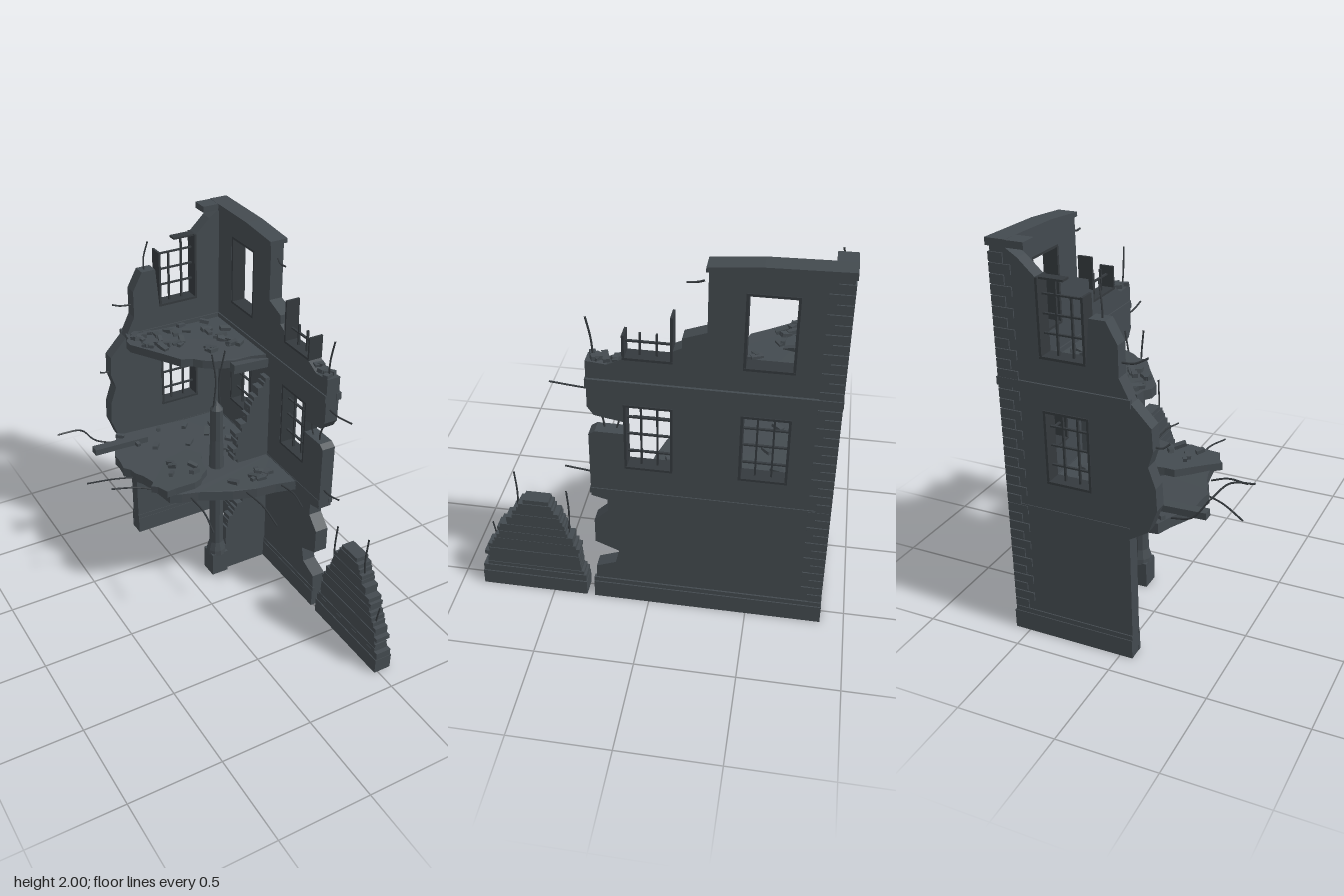
import * as THREE from 'three';

const concrete = new THREE.MeshStandardMaterial({ color: 0x434a4f, flatShading: true });
concrete.name = 'dark concrete';
const steel = new THREE.MeshStandardMaterial({ color: 0x34393d });
steel.name = 'dark steel';

let seed = 7;
const rnd = () => (seed = (seed * 16807) % 2147483647) / 2147483647;
const rr = (a, b) => a + (b - a) * rnd();

export function createModel() {
  const model = new THREE.Group();
  const add = (name, geo, mat = concrete) => {
    const m = new THREE.Mesh(geo, mat);
    m.name = name;
    model.add(m);
    return m;
  };
  // box given by its min and max on each axis
  const span = (name, x0, x1, y0, y1, z0, z1, mat) => {
    const m = add(name, new THREE.BoxGeometry(x1 - x0, y1 - y0, z1 - z0), mat);
    m.position.set((x0 + x1) / 2, (y0 + y1) / 2, (z0 + z1) / 2);
    return m;
  };
  const toPoints = (pts) => pts.map((p) => new THREE.Vector2(...p));
  const extrude = (pts, depth, holes = []) => {
    const s = new THREE.Shape(toPoints(pts));
    for (const [a, b, c, d] of holes) s.holes.push(new THREE.Path(toPoints([[a, c], [a, d], [b, d], [b, c]])));
    return new THREE.ExtrudeGeometry(s, { depth, bevelEnabled: false });
  };
  // outline in (z, y), outer face at x1
  const sideWall = (name, pts, x0, x1, holes) =>
    add(name, extrude(pts, x1 - x0, holes).rotateY(-Math.PI / 2).translate(x1, 0, 0));
  // break up an outline with small nicks
  const jag = (pts, amt, n = 3) => pts.flatMap((p, i) => {
    const q = pts[(i + 1) % pts.length];
    return Array.from({ length: n }, (_, k) => [
      p[0] + (q[0] - p[0]) * k / n + (k ? rr(-amt, amt) : 0),
      p[1] + (q[1] - p[1]) * k / n + (k ? rr(-amt, amt) : 0)]);
  });

  // Side wall in two storeys-high parts that meet at mid height, with a broken front edge
  const level = 1.1;
  sideWall('lowerSideWall', [
    [-0.87, 0], [0.28, 0], [0.27, 0.2], [0.17, 0.24], [0.15, 0.32], [0.27, 0.37], [0.27, 0.51], [0.2, 0.58],
    [0.2, 0.65], [0.28, 0.67], [0.28, 1.04], [0.25, 1.06], [0.11, 1.06], [0.11, 0.86], [-0.12, 0.86], [-0.12, level],
    [-0.43, level], [-0.43, 0.86], [-0.66, 0.86], [-0.66, level], [-0.87, level]], 0.49, 0.565);
  sideWall('upperSideWall', [
    [-0.87, level], [-0.66, level], [-0.66, 1.23], [-0.43, 1.23], [-0.43, level], [-0.12, level], [-0.12, 1.23],
    [0.11, 1.23], [0.11, 1.13], [0.25, 1.155], [0.28, 1.2], [0.28, 1.45], [0.18, 1.44], [0.11, 1.475],
    [-0.12, 1.475], [-0.12, 1.54], [-0.16, 1.56], [-0.16, 1.61], [-0.27, 1.65], [-0.27, 1.96], [-0.87, 1.985]],
  0.49, 0.565, [[-0.66, -0.43, 1.475, 1.86]]);

  // Back wall with its broken left edge
  add('backWall', extrude([
    [0.5, 0], [-0.065, 0], [-0.065, 0.66], [-0.16, 0.72], [-0.205, 0.84], [-0.2, 0.95], [-0.165, 1.05],
    [-0.19, 1.13], [-0.185, 1.24], [-0.09, 1.34], [-0.035, 1.45], [-0.035, 1.6], [0.02, 1.7], [0.1, 1.7],
    [0.12, 1.48], [0.35, 1.48], [0.35, 1.85], [0.43, 1.925], [0.5, 1.97]],
  0.07, [[0.12, 0.35, 0.86, 1.23]]).translate(0, 0, -0.87));

  // Plinth, string courses and cornice
  for (const [y, h, o] of [[0, 0.1, 0.014], [0.1, 0.025, 0.008], [0.69, 0.03, 0.005], [1.32, 0.04, 0.013]]) {
    const left = y > 1 ? -0.09 : -0.066;
    span('sideCourse', 0.55, 0.565 + o, y, y + h, -0.87 - o / 1.4, 0.284);
    span('backCourse', left, 0.565, y, y + h, -0.87 - o / 1.4, -0.86);
    span('innerSideCourse', 0.49 - o / 2, 0.5, y, y + h, -0.81, 0.28);
    span('innerBackCourse', left, 0.49, y, y + h, -0.81, -0.8 + o / 2);
  }
  sideWall('sideCornice', [[-0.88, 1.965], [-0.26, 1.95], [-0.26, 1.972], [-0.5, 1.993], [-0.88, 2]], 0.48, 0.58);
  span('backCornice', 0.39, 0.48, 1.965, 1.998, -0.88, -0.79);

  // Corner quoins, alternately long and short
  for (let i = 0, y = 0.13; y < 1.93; i++, y += 0.049) {
    const l = i % 2 ? 0.1 : 0.065;
    span('sideQuoin', 0.56, 0.572, y, y + 0.044, -0.877, -0.87 + l);
    span('backQuoin', 0.565 - l, 0.572, y, y + 0.044, -0.877, -0.865);
  }

  // Windows: casing posts and glazing bars; tops lists the height of each upright
  const addWindow = (side, a, y0, tops, rows, head = true) => {
    const b = a + 0.23, y1 = Math.max(...tops);
    const bar = (name, u0, u1, v0, v1, t) => side
      ? span(name, 0.53 - t, 0.53 + t, v0, v1, u0, u1, steel)
      : span(name, u0, u1, v0, v1, -0.835 - t, -0.835 + t, steel);
    bar('windowSill', a, b, y0, y0 + 0.012, 0.04);
    if (head) bar('windowHead', a, b, y1 - 0.012, y1, 0.04);
    tops.forEach((t, i) => {
      const outer = i === 0 || i === tops.length - 1, e = outer ? 0.006 : 0.0045;
      const c = THREE.MathUtils.clamp(a + 0.23 * i / (tops.length - 1), a + e, b - e);
      bar('glazingPost', c - e, c + e, y0, t, outer ? 0.039 : 0.006);
    });
    for (const y of rows) bar('glazingBar', a, b, y - 0.004, y + 0.004, 0.006);
  };
  for (const [side, a] of [[true, -0.12], [true, -0.66], [false, 0.12]])
    addWindow(side, a, 0.86, Array(4).fill(1.23), [0.945, 1.045, 1.14]);
  addWindow(true, -0.66, 1.475, [1.86, 1.86], []);
  addWindow(true, -0.12, 1.475, [1.71, 1.6, 1.6, 1.6], [1.555], false);
  addWindow(false, 0.12, 1.48, [1.79, 1.77, 1.85, 1.85], [1.59, 1.68, 1.77], false);
  span('brokenWindowHead', 0.22, 0.35, 1.84, 1.85, -0.86, -0.81, steel);

  // Floor slabs, outline in (x, z), lifting towards the broken side
  const slab = (name, pts, y, t, lift) => {
    const g = extrude(jag(pts, 0.012).map(([x, z]) => [x, -z]), t).rotateX(-Math.PI / 2);
    const p = g.attributes.position;
    for (let i = 0; i < p.count; i++) p.setY(i, p.getY(i) + y + lift(p.getX(i)));
    g.computeVertexNormals();
    add(name, g);
  };
  slab('lowerFloor', [[0.5, -0.81], [-0.18, -0.81], [-0.28, -0.6], [-0.29, -0.47], [-0.23, -0.36], [-0.18, -0.13],
    [-0.03, -0.09], [0.14, -0.02], [0.5, 0.06]], 0.66, 0.055, (x) => Math.max(0, 0.2 - x) * 0.06);
  slab('upperFloor', [[0.5, -0.81], [-0.09, -0.81], [-0.12, -0.68], [0.05, -0.42], [0.2, -0.33], [0.5, -0.27]],
    1.29, 0.045, (x) => Math.max(0, 0.3 - x) * 0.06);
  slab('fallenSlab', [[0.12, -0.33], [0.06, -0.41], [-0.07, -0.39], [-0.25, -0.21], [-0.2, -0.12], [-0.04, -0.11],
    [0.07, -0.18]], 0.745, 0.04, (x) => x * 0.06);
  span('lowerBeam', 0.2, 0.49, 0.62, 0.67, -0.31, -0.23);
  span('upperBeam', 0.28, 0.49, 1.27, 1.32, -0.32, -0.26).rotation.z = -0.06;
  span('fallenBeam', -0.37, -0.05, 0.738, 0.773, -0.705, -0.655).rotation.z = -0.03;

  // Column with square base and shattered top
  span('columnBase', 0.13, 0.23, 0, 0.14, -0.32, -0.22);
  add('columnShaft', new THREE.LatheGeometry(toPoints([[0.058, 0.13], [0.055, 0.16], [0.04, 0.21], [0.04, 0.62],
    [0.055, 0.67], [0.043, 0.73], [0.036, 0.9], [0.036, 1.09], [0, 1.14]]), 10)).position.set(0.18, 0, -0.27);

  // Brick courses of the cross wall, stepping up to the side wall
  const brick = 0.0245;
  const crossWall = (y0, y1, x0, stepY, slope) => {
    for (let y = y0; y < y1; y += brick) {
      const left = x0 + Math.max(0, y - stepY) * slope + rr(-0.012, 0.02);
      span('crossWallCourse', Math.min(left, 0.485), 0.5, y, y + brick, -0.3, -0.24);
    }
  };
  crossWall(0, 0.65, 0.21, 0.27, 0.68);
  crossWall(0.72, 1.19, 0.28, 0.87, 0.55);

  // Detached wall stump with ragged courses
  span('stumpPlinth', 0.48, 0.578, 0, 0.085, 0.325, 0.88);
  span('stumpPlinthCap', 0.485, 0.572, 0.085, 0.125, 0.328, 0.877);
  for (let y = 0.12; y < 0.57; y += brick) {
    const f = (y - 0.12) / 0.47, t = rr(0, 0.006);
    span('stumpCourse', 0.49 - t, 0.562 + t, y, y + brick, 0.337 + 0.19 * f ** 1.7 + rr(-0.012, 0.018),
      0.87 - 0.255 * f ** 1.5 + rr(-0.018, 0.01));
  }

  // Loose bricks on floors and ledges
  const scatter = (n, x0, x1, z0, z1, y) => {
    for (let i = 0; i < n; i++) {
      const x = rr(x0, x1), s = rr(0.7, 1.1);
      const m = add('looseBrick', new THREE.BoxGeometry(0.06 * s, 0.02, 0.028 * s));
      m.position.set(x, y + Math.max(0, 0.25 - x) * 0.06 + rr(0, 0.006), rr(z0, z1));
      m.rotation.set(rr(-0.2, 0.2), rr(0, 3.1), rr(-0.25, 0.25));
    }
  };
  scatter(22, 0.08, 0.46, -0.78, -0.42, 1.345);
  scatter(14, -0.08, 0.08, -0.76, -0.56, 1.345);
  scatter(16, -0.2, 0.46, -0.78, -0.15, 0.725);
  scatter(9, 0.17, 0.46, -0.16, -0.03, 0.725);
  scatter(5, -0.13, 0.02, -0.32, -0.17, 0.785);
  scatter(7, 0.51, 0.54, 0.12, 0.25, 1.455);

  // Bent reinforcing bars, with a kink part way along
  const rebar = (a, b, kink = 0.012) => {
    const p = new THREE.Vector3(...a), q = new THREE.Vector3(...b);
    const mid = p.clone().lerp(q, 0.5).add(new THREE.Vector3(kink, kink, kink));
    add('rebar', new THREE.TubeGeometry(new THREE.CatmullRomCurve3([p, mid, q]), 10, 0.0048, 6), steel);
  };
  // out of the side wall and stump, from (z, y) to (z, y)
  for (const [z0, y0, z1, y1] of [[0.26, 0.78, 0.415, 0.8], [0.26, 1.27, 0.465, 1.29], [0.25, 1.43, 0.28, 1.655],
    [0.21, 1.04, 0.235, 1.16], [0.16, 1.04, 0.14, 1.15], [-0.25, 1.88, -0.17, 1.865], [0.68, 0.45, 0.68, 0.73],
    [0.42, 0.35, 0.42, 0.64], [0.81, 0.2, 0.82, 0.385]])
    rebar([0.52, y0, z0], [0.52, y1, z1], -0.006);
  // out of the back wall, from (x, y) to (x, y)
  for (const [x0, y0, x1, y1] of [[0.05, 1.68, 0.07, 1.86], [-0.02, 1.51, -0.155, 1.545], [-0.17, 1.14, -0.25, 1.16]])
    rebar([x0, y0, -0.835], [x1, y1, -0.82], -0.01);
  // out of the lower floor, from (x, z) to (x, z) at a new height
  for (const [x0, z0, x1, z1, y] of [[-0.25, -0.42, -0.485, -0.53, 0.67], [-0.22, -0.28, -0.43, -0.32, 0.745],
    [-0.07, -0.13, -0.1, 0.2, 0.68], [0.21, -0.03, 0.22, 0.3, 0.67], [0.41, 0.02, 0.4, 0.26, 0.7]])
    rebar([x0, 0.7, z0], [x1, y, z1]);
  // out of the column top
  rebar([0.16, 1.1, -0.27], [0.145, 1.43, -0.26]);
  rebar([0.2, 1.1, -0.27], [0.235, 1.42, -0.28], -0.012);
  // long bar curling up over the broken floor edge
  rebar([-0.2, 0.73, -0.73], [-0.4, 0.87, -0.73], -0.025);
  rebar([-0.4, 0.87, -0.73], [-0.585, 0.95, -0.65], 0.025);

  return model;
}
